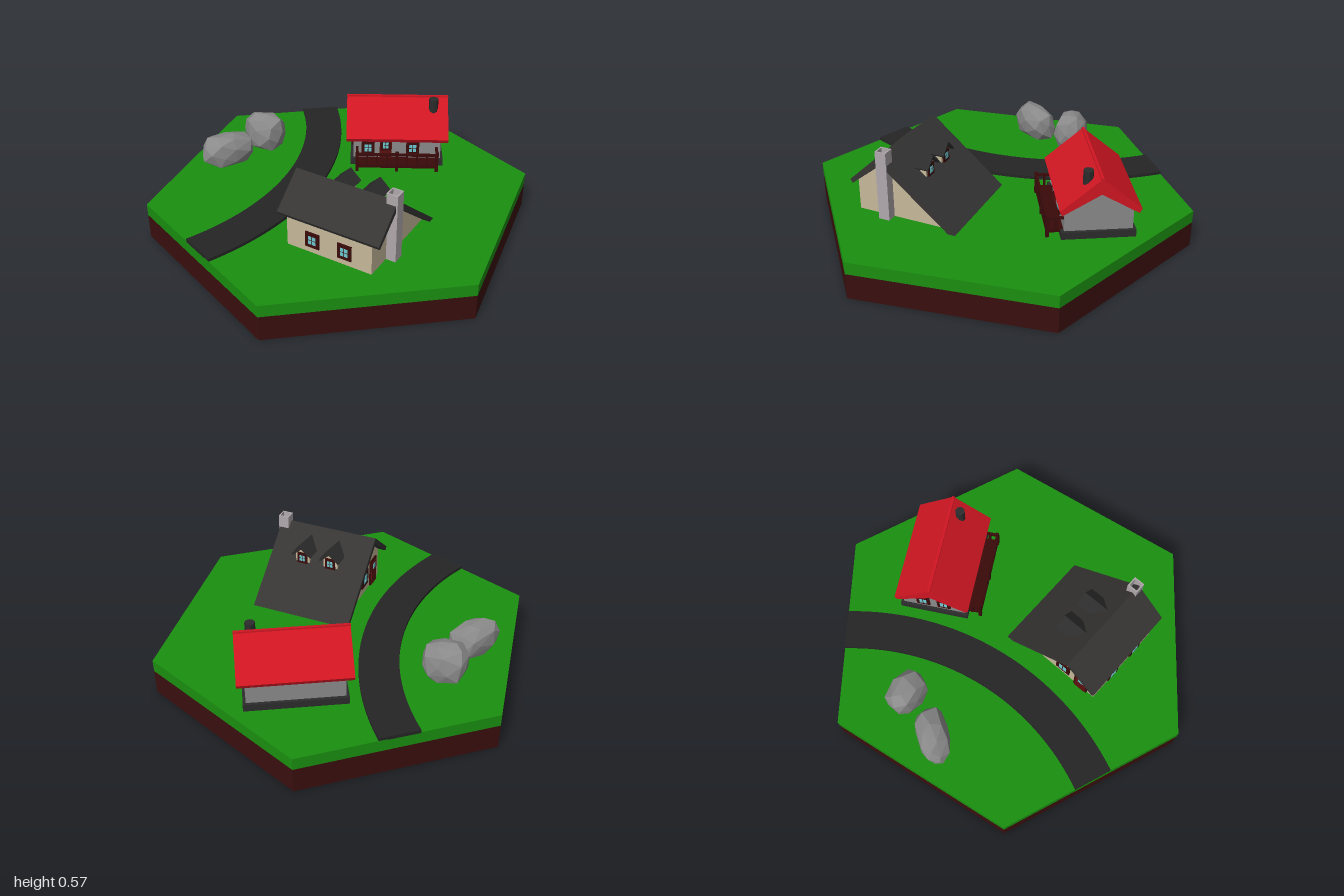
import * as THREE from 'three';
import { ConvexGeometry } from 'three/addons/geometries/ConvexGeometry.js';

const mat = (color) => new THREE.MeshStandardMaterial({ color, flatShading: true });
const M = {
  grass: mat(0x1a8f10), soil: mat(0x3a0e0e), road: mat(0x252525), slate: mat(0x363534),
  plaster: mat(0xc6b99a), red: mat(0xd01622), stone: mat(0x8a8a8a), wood: mat(0x3a0a0a),
  door: mat(0x5e1010), glass: mat(0x6cc8d0), chimney: mat(0xb0a8ac), dark: mat(0x2c2c2c),
};

function add(parent, name, geometry, material, x = 0, y = 0, z = 0) {
  const mesh = new THREE.Mesh(geometry, material);
  mesh.name = name;
  mesh.position.set(x, y, z);
  parent.add(mesh);
  return mesh;
}

function group(parent, name, x = 0, y = 0, z = 0, turn = 0) {
  const g = new THREE.Group();
  g.name = name;
  g.position.set(x, y, z);
  g.rotation.y = turn;
  parent.add(g);
  return g;
}

const box = (parent, name, material, w, h, d, x, y, z) =>
  add(parent, name, new THREE.BoxGeometry(w, h, d), material, x, y, z);

const polygon = (points) => new THREE.Shape(points.map(([a, b]) => new THREE.Vector2(a, b)));

const prism = (shape, depth) =>
  new THREE.ExtrudeGeometry(shape, { depth, bevelEnabled: false, curveSegments: 24 });

// Extrudes a (z, y) profile along x, centred on x = 0
const prismX = (points, length) =>
  prism(polygon(points), length).translate(0, 0, -length / 2).rotateY(-Math.PI / 2);

// Four-pane window facing +z
function addWindow(parent, x, y, z, w, h, turn = 0) {
  const g = group(parent, 'window', x, y, z, turn);
  box(g, 'windowFrame', M.wood, w, h, 0.016, 0, 0, 0);
  for (const i of [-1, 1]) for (const j of [-1, 1])
    box(g, 'pane', M.glass, w * 0.24, h * 0.24, 0.004, i * w * 0.15, j * h * 0.15, 0.008);
}

function addBase(model) {
  for (const [name, m, y0, y1] of [['soil', M.soil, 0, 0.135], ['grass', M.grass, 0.135, 0.2]])
    add(model, name, new THREE.CylinderGeometry(1, 1, y1 - y0, 6), m, 0, (y0 + y1) / 2, 0);

  // Curved road, cut off along the edges of the hexagon
  const road = new THREE.Shape();
  road.absarc(-1.583, 0, 1.474, -0.574, 0.574, false);
  road.absarc(-1.583, 0, 1.272, 0.583, -0.583, true);
  add(model, 'road', prism(road, 0.02).rotateX(-Math.PI / 2), M.road, 0, 0.196, 0);
}

function addDormer(house, x) {
  const g = group(house, 'dormer', x, 0, 0);
  add(g, 'dormerWall', prism(polygon([[-0.04, 0.36], [0.04, 0.36], [0.04, 0.452], [0, 0.483], [-0.04, 0.452]]), 0.11),
    M.plaster, 0, 0, -0.055);
  add(g, 'dormerRoof', prism(polygon([[-0.058, 0.44], [-0.052, 0.432], [0, 0.478], [0.052, 0.432], [0.058, 0.44], [0, 0.496]]), 0.145),
    M.dark, 0, 0, -0.075);
  addWindow(g, 0, 0.418, -0.055, 0.056, 0.062, Math.PI);
}

function addLongRoofHouse(model) {
  const h = group(model, 'longRoofHouse', 0.209, 0, 0.312, -0.165);
  add(h, 'walls', prismX([[-0.24, 0.19], [0.265, 0.19], [0.265, 0.376], [0.108, 0.5], [-0.24, 0.206]], 0.46), M.plaster);
  add(h, 'roof', prismX([[-0.283, 0.2], [-0.245, 0.2], [0.108, 0.494], [0.272, 0.362], [0.283, 0.382], [0.108, 0.53]], 0.547), M.slate);
  for (const s of [-1, 1]) {
    addWindow(h, s * 0.087, 0.275, 0.265, 0.075, 0.082);
    addDormer(h, s * 0.081);
  }

  // Entrance side
  addWindow(h, -0.23, 0.29, 0.06, 0.085, 0.09, -Math.PI / 2);
  box(h, 'doorFrame', M.wood, 0.016, 0.15, 0.085, -0.23, 0.275, 0.18);
  box(h, 'door', M.door, 0.024, 0.135, 0.066, -0.23, 0.269, 0.18);
  box(h, 'doorPane', M.glass, 0.028, 0.03, 0.03, -0.23, 0.31, 0.18);

  // Hollow outside chimney
  const r = 0.029, q = 0.022;
  const flue = polygon([[-r, -r], [r, -r], [r, r], [-r, r]]);
  flue.holes.push(polygon([[-q, -q], [-q, q], [q, q], [q, -q]]));
  add(h, 'chimney', prism(flue, 0.37).rotateX(-Math.PI / 2), M.chimney, 0.252, 0.197, 0.1);
}

function addPorch(house) {
  const g = group(house, 'porch');
  const back = 0.16, front = 0.248, half = 0.213, rail = 0.3;
  box(g, 'deck', M.wood, half * 2, 0.018, front - back, 0, 0.23, (front + back) / 2);
  box(g, 'frontRail', M.wood, half * 2 + 0.02, 0.012, 0.014, 0, rail, front - 0.006);
  for (const s of [-1, 1]) {
    box(g, 'sideRail', M.wood, 0.014, 0.012, front - back, s * half, rail, (front + back) / 2);
    box(g, 'sidePost', M.wood, 0.012, 0.075, 0.012, s * half, 0.265, 0.2);
  }
  for (let i = 0; i <= 8; i++) {
    const corner = i % 4 === 0;
    const t = corner ? 0.016 : 0.009;
    box(g, 'post', M.wood, t, corner ? 0.12 : 0.075, t, -half + (i * half) / 4, corner ? 0.255 : 0.265, front - 0.006);
  }
}

function addRedRoofHouse(model) {
  const h = group(model, 'redRoofHouse', 0.1325, 0, -0.5, 0.347);
  box(h, 'footing', M.dark, 0.5, 0.042, 0.36, 0, 0.217, 0);
  add(h, 'walls', prismX([[-0.165, 0.2], [0.165, 0.2], [0.165, 0.362], [0, 0.456], [-0.165, 0.362]], 0.47), M.stone);
  add(h, 'roof', prismX([[-0.194, 0.366], [-0.182, 0.343], [0, 0.45], [0.182, 0.343], [0.194, 0.366], [0, 0.53]], 0.545), M.red);
  box(h, 'ridgeCap', M.red, 0.547, 0.008, 0.014, 0, 0.528, 0);
  add(h, 'chimney', new THREE.CylinderGeometry(0.025, 0.025, 0.1, 8), M.dark, 0.193, 0.49, 0.053);

  for (const x of [-0.155, 0.085]) addWindow(h, x, 0.3, 0.165, 0.07, 0.08);
  box(h, 'door', M.door, 0.065, 0.125, 0.014, -0.06, 0.295, 0.165);
  addWindow(h, -0.06, 0.318, 0.168, 0.056, 0.065);
  for (const z of [-0.055, 0.055]) addWindow(h, -0.235, 0.31, z, 0.07, 0.08, -Math.PI / 2);
  addPorch(h);
}

// Faceted boulder: hull of jittered points on a squarish ellipsoid
function addRock(model, [x, y, z], [a, b, c], turn, seed) {
  const random = () => (seed = (seed * 16807) % 2147483647) / 2147483647;
  const points = [];
  const count = 34;
  for (let i = 0; i < count; i++) {
    const v = 1 - (2 * (i + 0.5)) / count;
    const angle = i * 2.4 + random() * 0.5;
    const r = Math.sqrt(1 - v * v);
    const p = new THREE.Vector3(r * Math.cos(angle), v, r * Math.sin(angle));
    const norm = Math.cbrt(Math.abs(p.x) ** 3 + Math.abs(p.y) ** 3 + Math.abs(p.z) ** 3);
    p.multiplyScalar((0.93 + random() * 0.09) / norm);
    points.push(p.multiply(new THREE.Vector3(a, b, c)));
  }
  add(model, 'rock', new ConvexGeometry(points), M.stone, x, y, z).rotation.y = turn;
}

export function createModel() {
  const model = new THREE.Group();
  model.name = 'hexagonVillage';
  addBase(model);
  addLongRoofHouse(model);
  addRedRoofHouse(model);
  addRock(model, [-0.563, 0.285, -0.27], [0.114, 0.112, 0.088], -0.15, 4711);
  addRock(model, [-0.675, 0.27, -0.037], [0.145, 0.096, 0.082], 0.835, 9203);
  return model;
}
